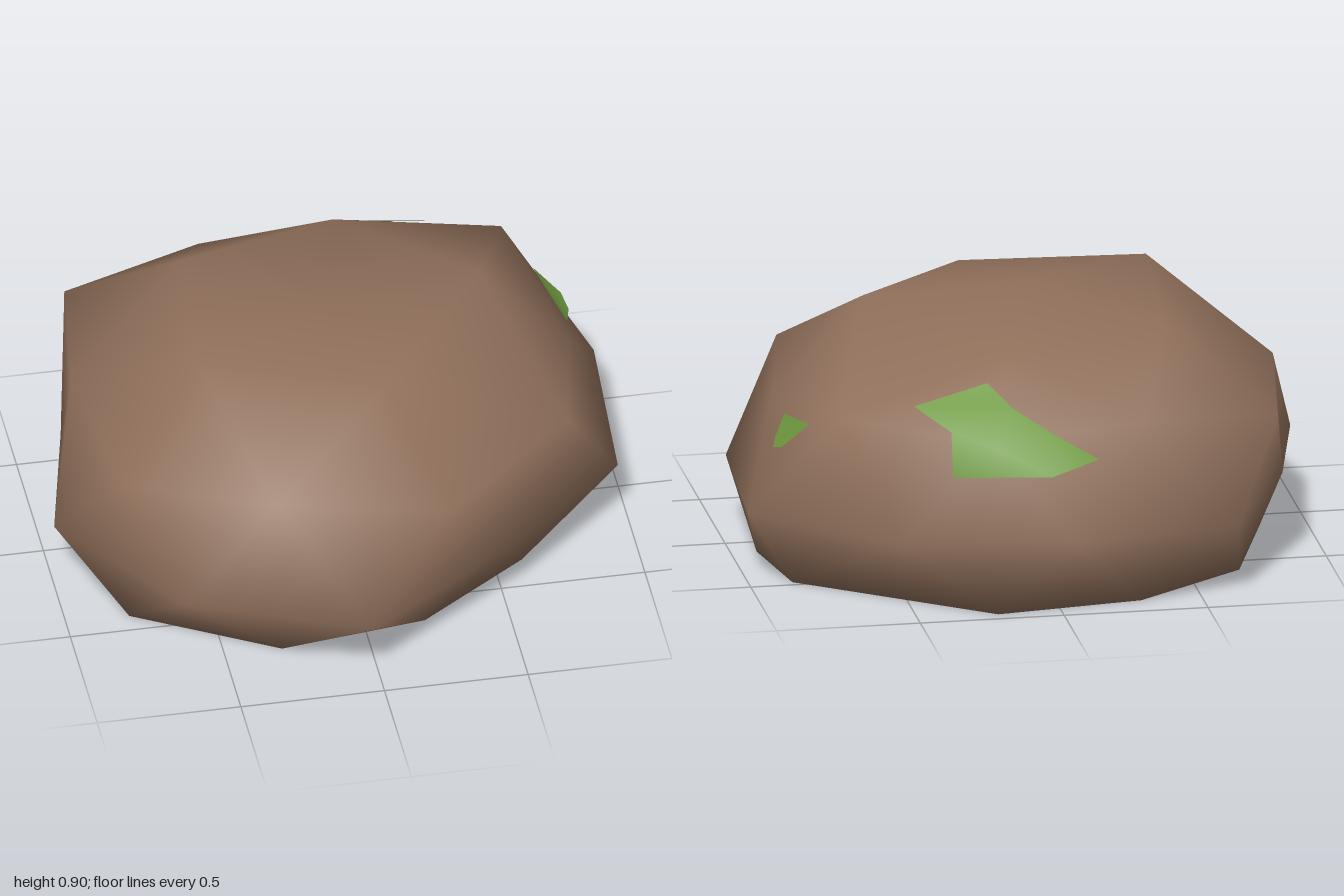
import * as THREE from 'three';

// Surface from points and triangles, with smooth shared normals
function surface(points, faces) {
  const g = new THREE.BufferGeometry();
  g.setAttribute('position', new THREE.Float32BufferAttribute(points.flat(), 3));
  g.setIndex(faces.flat());
  g.computeVertexNormals();
  return g;
}

// Rough icosphere with a flat base: rings of ten, ten, ten and five points between two poles
function boulder(base, belt, shoulder, crown, bottom, top) {
  const S = (j) => j % 10, B = (j) => 10 + j % 10, U = (j) => 20 + j % 10, T = (k) => 30 + k % 5;
  const faces = [];
  for (let j = 0; j < 10; j++) {
    faces.push([35, S(j), S(j + 1)],
      [S(j), B(j), S(j + 1)], [B(j), B(j + 1), S(j + 1)],
      [B(j), U(j + 1), B(j + 1)], [U(j), U(j + 1), B(j)]);
  }
  for (let k = 0; k < 5; k++) {
    const j = 2 * k;
    faces.push([U(j), T(k), U(j + 1)], [T(k), T(k + 1), U(j + 1)],
      [U(j + 1), T(k + 1), U(j + 2)], [36, T(k + 1), T(k)]);
  }
  return surface([...base, ...belt, ...shoulder, ...crown, bottom, top], faces);
}

const level = (y, outline) => outline.map(([x, z]) => [x, y, z]);

export function createModel() {
  const model = new THREE.Group();
  const stone = new THREE.MeshStandardMaterial({ color: 0x8f6f5a });
  stone.name = 'brown stone';
  const green = new THREE.MeshStandardMaterial({ color: 0x6f9a40, side: THREE.DoubleSide });
  green.name = 'moss green';
  const add = (name, geometry, material) => {
    const mesh = new THREE.Mesh(geometry, material);
    mesh.name = name;
    model.add(mesh);
  };

  // Boulder: base, widest belt, shoulder and crown
  const base = level(0, [[0.91, -0.11], [0.6, 0.35], [0.21, 0.63], [-0.3, 0.7], [-0.78, 0.42],
    [-0.83, -0.14], [-0.68, -0.6], [-0.29, -0.88], [0.22, -0.95], [0.85, -0.47]]);
  const belt = level(0.25, [[0.96, 0.21], [0.52, 0.6], [-0.04, 0.98], [-0.64, 0.72], [-1, 0.2],
    [-0.88, -0.32], [-0.62, -0.91], [-0.04, -0.975], [0.54, -0.9], [1, -0.45]]);
  const shoulder = [[0.85, 0.57, -0.1], [0.75, 0.61, 0.4], [0.27, 0.6, 0.82], [-0.33, 0.655, 0.76],
    [-0.81, 0.58, 0.44], [-0.88, 0.62, -0.13], [-0.8, 0.58, -0.68], [-0.31, 0.62, -0.81],
    [0.22, 0.57, -0.84], [0.72, 0.65, -0.68]];
  const crown = [[0.54, 0.9, -0.11], [0.12, 0.845, 0.39], [-0.5, 0.89, 0.21],
    [-0.45, 0.845, -0.43], [0.12, 0.82, -0.6]];
  add('boulder', boulder(base, belt, shoulder, crown, [0, 0, -0.1], [-0.03, 0.885, 0]), stone);

  // Moss draped over the back shoulder
  add('backMoss', surface([
    [0.21, 0.745, -0.68], [0.47, 0.685, -0.71], [0.14, 0.68, -0.77], [0.36, 0.62, -0.82],
    [0, 0.6, -0.87], [-0.14, 0.52, -0.9], [0.04, 0.49, -0.98], [0.36, 0.47, -0.86],
    [0.2, 0.57, -0.9],
  ], [[0, 1, 2], [1, 3, 2], [2, 3, 8], [2, 8, 4], [4, 8, 6], [4, 6, 5], [8, 3, 7], [8, 7, 6]]), green);

  // Small moss tuft on the left side
  add('sideMoss', surface([
    [0.8, 0.58, -0.52], [0.85, 0.555, -0.31], [0.885, 0.48, -0.33],
    [0.905, 0.47, -0.41], [0.89, 0.49, -0.48],
  ], [[0, 1, 2], [0, 2, 3], [0, 3, 4]]), green);

  return model;
}
